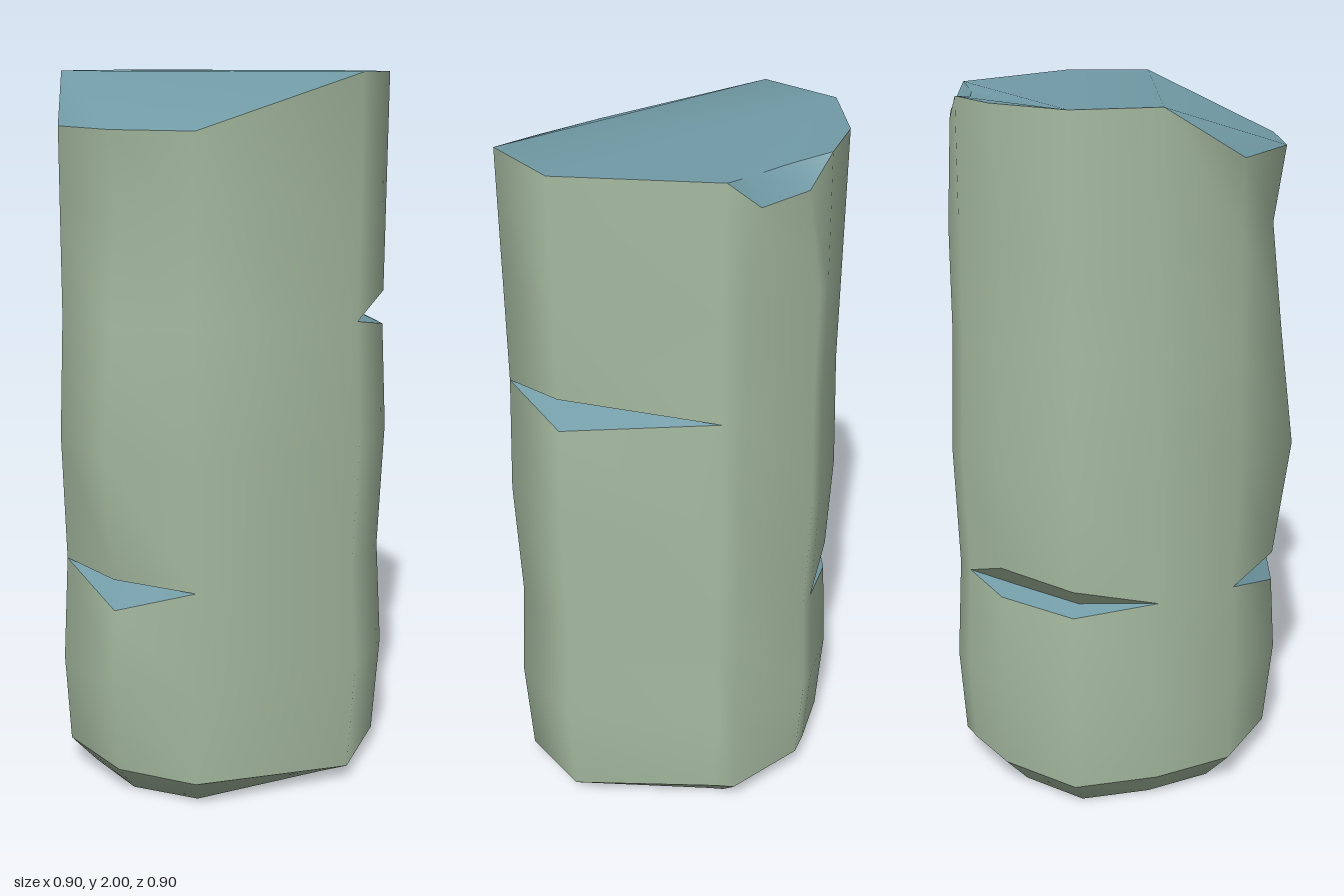
import * as THREE from 'three';
import { mergeVertices } from 'three/addons/utils/BufferGeometryUtils.js';

// Outline columns, clockwise seen from above: [x, z]
const outline = [
  [-0.215, -0.4], [0.03, -0.44], [0.2, -0.405], [0.265, -0.385], [0.44, -0.205], [0.44, -0.15],
  [0.44, 0.28], [0.26, 0.445], [-0.225, 0.445], [-0.395, 0.275], [-0.445, 0.025], [-0.355, -0.2],
];
const N = outline.length;

// Rows up the post: [y, scale, extra scale of the front corner column 9]
const rows = [
  [0.09, 0.985, 0.97], [0.35, 1.02, 1.02], [0.65, 0.985, 0.99], [1.01, 1.01, 1.08],
  [1.35, 0.98, 0.99], [1.65, 0.98, 0.92], [2, 0.98, 0.98],
];

// Cuts by row: column -> [lip above, lip below, depth scale]
const cuts = {
  2: { 0: [0.06, 0.02, 0.88], 1: [0.07, 0.02, 0.87], 9: [0.01, 0.08, 0.84] },
  4: { 6: [0.05, 0.045, 0.8] },
};
const bottomY = { 6: 0.06, 7: 0.045 };
const topY = { 3: 1.93, 4: 1.93, 8: 1.86, 9: 1.86, 10: 1.86 };
const topXZ = { 2: [0.2, -0.39], 3: [0.28, -0.34], 4: [0.4, -0.23], 5: [0.432, -0.15] };

function point(r, i, dy = 0, depth = 1) {
  const [y, s, k] = rows[r];
  const f = s * depth * (i === 9 ? k / s : 1);
  let [x, z] = outline[i].map((v) => v * f);
  let h = y + dy;
  if (r === 0) h = bottomY[i] ?? y;
  if (r === rows.length - 1) {
    h = topY[i] ?? y;
    if (topXZ[i]) [x, z] = topXZ[i];
  }
  return [x, h, z];
}
const lip = (r, i, side) => {
  const c = cuts[r]?.[i];
  return point(r, i, c ? (side > 0 ? c[0] : -c[1]) : 0);
};
const inner = (r, i) => point(r, i, 0, cuts[r][i]?.[2] ?? 1);

// Adds a convex face as a fan of triangles
function face(out, ...p) {
  for (let i = 1; i < p.length - 1; i++) out.push(...p[0], ...p[i], ...p[i + 1]);
}

function smoothMesh(name, positions, material) {
  let g = new THREE.BufferGeometry();
  g.setAttribute('position', new THREE.Float32BufferAttribute(positions, 3));
  g = mergeVertices(g, 1e-4);
  g.computeVertexNormals();
  const mesh = new THREE.Mesh(g, material);
  mesh.name = name;
  return mesh;
}

export function createModel() {
  const green = new THREE.MeshStandardMaterial({ color: 0xa5baa0 });
  green.name = 'pale green';
  const blue = new THREE.MeshStandardMaterial({ color: 0x719ba6 });
  blue.name = 'cut blue';
  const group = new THREE.Group();
  group.name = 'post';

  // Outer wall, left open at the cuts
  const wall = [];
  for (let r = 0; r < rows.length - 1; r++) {
    for (let i = 0; i < N; i++) {
      const j = (i + 1) % N;
      face(wall, lip(r, i, 1), lip(r + 1, i, -1), lip(r + 1, j, -1), lip(r, j, 1));
    }
  }
  group.add(smoothMesh('wall', wall, green));

  // Bevelled underside
  const base = [];
  const foot = outline.map(([x, z]) => [x * 0.81, 0, z * 0.81]);
  for (let i = 0; i < N; i++) {
    const j = (i + 1) % N;
    face(base, foot[i], point(0, i), point(0, j), foot[j]);
  }
  face(base, ...foot);
  group.add(smoothMesh('underside', base, green));

  // Cuts: green upper faces and blue lower faces
  for (const r of Object.keys(cuts).map(Number)) {
    const upper = [], lower = [];
    for (let i = 0; i < N; i++) {
      const j = (i + 1) % N;
      if (!cuts[r][i] && !cuts[r][j]) continue;
      face(upper, inner(r, i), lip(r, i, 1), lip(r, j, 1), inner(r, j));
      face(lower, lip(r, i, -1), inner(r, i), inner(r, j), lip(r, j, -1));
    }
    group.add(smoothMesh('cutUpperFace', upper, green), smoothMesh('cutLowerFace', lower, blue));
  }

  // Top with a sloped front corner
  const t = outline.map((_, i) => point(rows.length - 1, i));
  const chipA = [0.25, 1.985, -0.29], chipB = [0.345, 1.985, -0.2];
  const top = [];
  const up = (out, ...p) => face(out, p[0], ...p.slice(1).reverse());
  up(top, t[0], t[1], t[2], chipA, chipB, t[5], t[6], t[7], t[11]);
  up(top, t[9], t[10], t[11], t[7], t[8]);
  group.add(smoothMesh('top', top, blue));

  // Chipped back corner of the top
  const chip = [];
  up(chip, t[2], t[3], chipA);
  up(chip, t[3], t[4], chipB, chipA);
  up(chip, t[4], t[5], chipB);
  group.add(smoothMesh('chip', chip, blue));

  return group;
}
